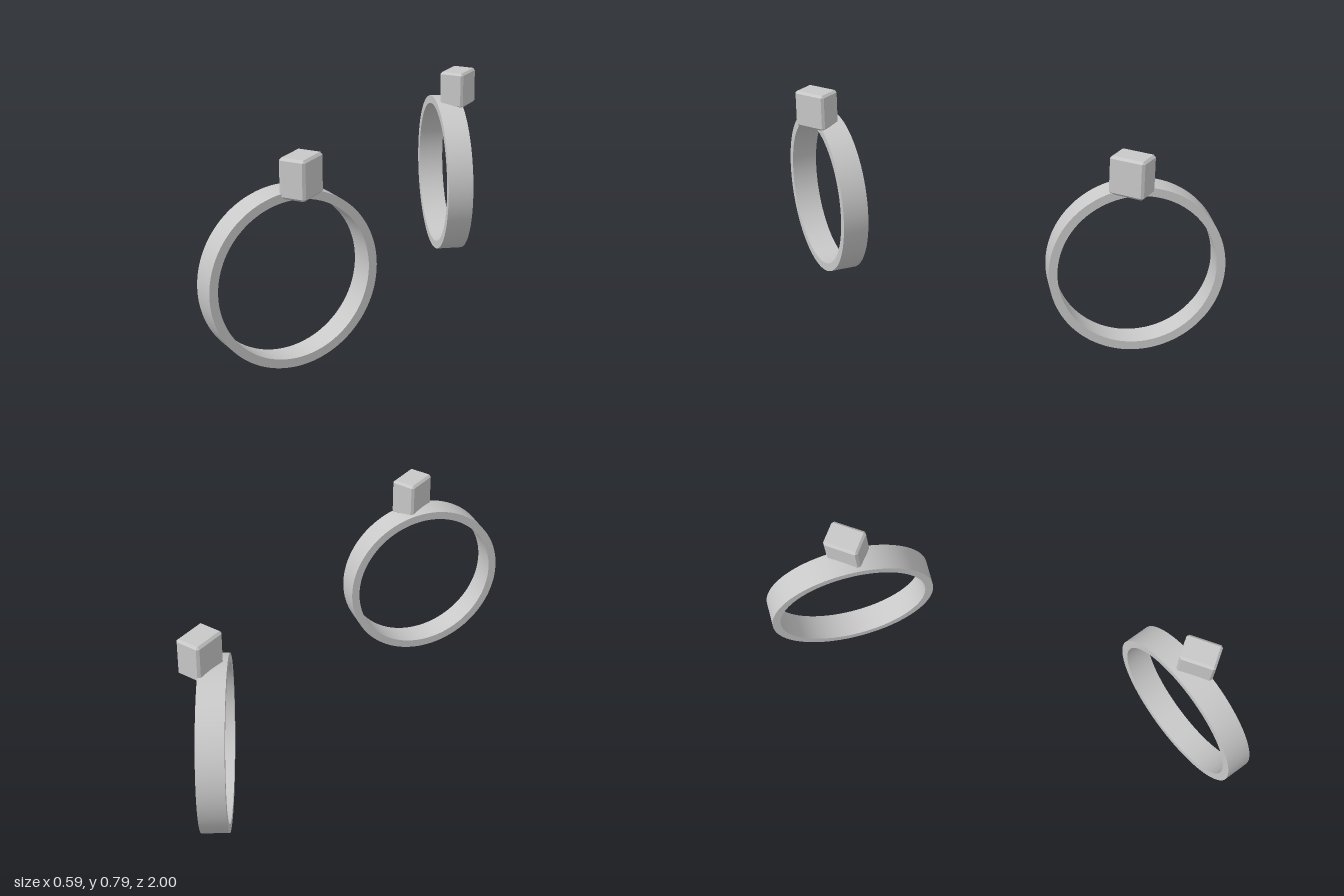
import * as THREE from 'three';
import { toCreasedNormals } from 'three/addons/utils/BufferGeometryUtils.js';
import { ConvexGeometry } from 'three/addons/geometries/ConvexGeometry.js';

const OUTER = 0.331, INNER = 0.298, WIDTH = 0.104;

// Flat band with square edges, its axis along z
function bandGeometry() {
  const shape = new THREE.Shape().absarc(0, 0, OUTER, 0, Math.PI * 2);
  shape.holes.push(new THREE.Path().absarc(0, 0, INNER, 0, Math.PI * 2, true));
  const geometry = new THREE.ExtrudeGeometry(shape, { depth: WIDTH, bevelEnabled: false, curveSegments: 64 });
  geometry.translate(0, 0, -WIDTH / 2);
  return toCreasedNormals(geometry, 0.6);
}

// Box with every edge cut off by one flat chamfer
function chamferedBox(w, h, d, c) {
  const points = [];
  for (const x of [-1, 1]) for (const y of [-1, 1]) for (const z of [-1, 1]) {
    for (let axis = 0; axis < 3; axis++) {
      const inset = [c, c, c];
      inset[axis] = 0;
      points.push(new THREE.Vector3(x * (w / 2 - inset[0]), y * (h / 2 - inset[1]), z * (d / 2 - inset[2])));
    }
  }
  return new ConvexGeometry(points);
}

export function createModel() {
  const model = new THREE.Group();
  const metal = new THREE.MeshStandardMaterial({ color: 0xc8c8c8 });
  metal.name = 'grey metal';
  const band = bandGeometry();
  const stone = chamferedBox(0.104, 0.149, 0.141, 0.009);

  // Two rings turned different ways, with their stones nearly parallel
  const rings = [
    { name: 'frontRing', at: [-0.042, 0.713], turn: 0.877, stoneAt: [0.013, 0.717] },
    { name: 'backRing', at: [0.082, -0.688], turn: -Math.PI / 3, stoneAt: [0.136, -0.682] },
  ];
  for (const r of rings) {
    const ring = new THREE.Group();
    ring.name = r.name;

    const bandMesh = new THREE.Mesh(band, metal);
    bandMesh.name = 'band';
    bandMesh.position.set(r.at[0], OUTER, r.at[1]);
    bandMesh.rotation.y = r.turn;

    const stoneMesh = new THREE.Mesh(stone, metal);
    stoneMesh.name = 'stone';
    stoneMesh.position.set(r.stoneAt[0], 0.7125, r.stoneAt[1]);
    stoneMesh.rotation.y = -0.1;

    ring.add(bandMesh, stoneMesh);
    model.add(ring);
  }
  return model;
}
